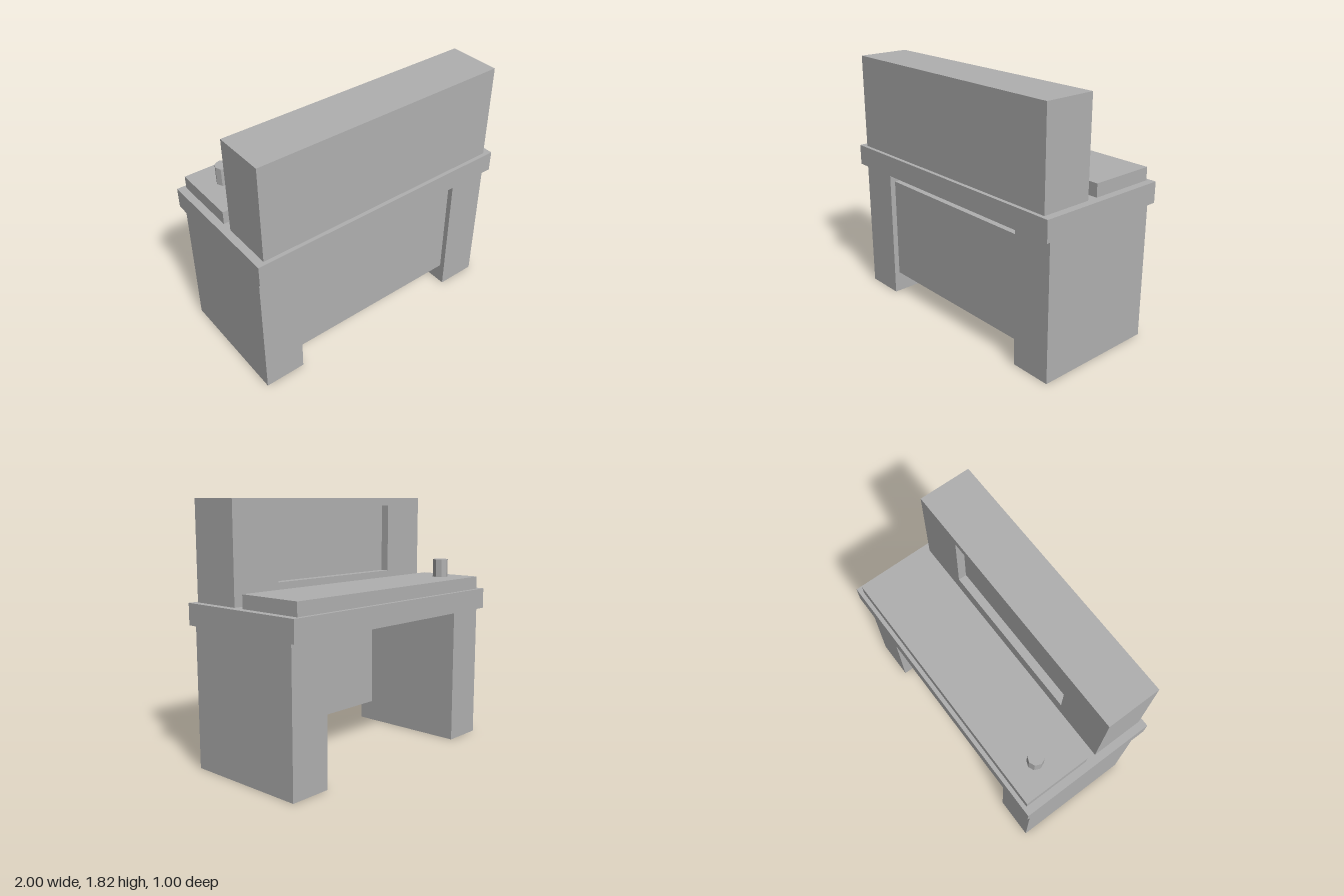
import * as THREE from 'three';

const grey = new THREE.MeshStandardMaterial({ color: 0xb0b0b0, flatShading: true });
grey.name = 'grey';

// Box given by its minimum and maximum corners
function block(name, [x0, y0, z0], [x1, y1, z1]) {
  const mesh = new THREE.Mesh(new THREE.BoxGeometry(x1 - x0, y1 - y0, z1 - z0), grey);
  mesh.position.set((x0 + x1) / 2, (y0 + y1) / 2, (z0 + z1) / 2);
  mesh.name = name;
  return mesh;
}

function rectangle(path, x, y0, y1) {
  path.moveTo(-x, y0);
  path.lineTo(x, y0);
  path.lineTo(x, y1);
  path.lineTo(-x, y1);
  path.closePath();
  return path;
}

export function createModel() {
  const model = new THREE.Group();
  model.name = 'consoleDesk';

  // Desk: two pedestals, front panel and worktop
  model.add(
    block('leftPedestal', [0.68, 0, -0.455], [0.98, 0.985, 0.455]),
    block('rightPedestal', [-0.98, 0, -0.455], [-0.68, 0.985, 0.455]),
    block('modestyPanel', [-0.68, 0.155, 0.34], [0.68, 0.905, 0.415]),
    block('worktop', [-1, 0.985, -0.5], [1, 1.135, 0.5]),
    block('controlPanel', [-0.945, 1.135, -0.472], [0.945, 1.228, 0.017])
  );

  // Display cabinet with a recessed screen facing the operator at the back
  const cabinet = new THREE.Group();
  cabinet.name = 'displayCabinet';
  cabinet.add(block('cabinetBody', [-0.945, 1.135, 0.155], [0.945, 1.815, 0.472]));
  const outline = rectangle(new THREE.Shape(), 0.945, 1.135, 1.815);
  outline.holes.push(rectangle(new THREE.Path(), 0.57, 1.265, 1.76));
  const frame = new THREE.Mesh(
    new THREE.ExtrudeGeometry(outline, { depth: 0.06, bevelEnabled: false }), grey);
  frame.position.z = 0.095;
  frame.name = 'screenFrame';
  cabinet.add(frame);
  model.add(cabinet);

  // Eight-sided control knob
  const knob = new THREE.Mesh(new THREE.CylinderGeometry(0.056, 0.056, 0.132, 8), grey);
  knob.position.set(-0.76, 1.294, -0.265);
  knob.name = 'controlKnob';
  model.add(knob);

  return model;
}
